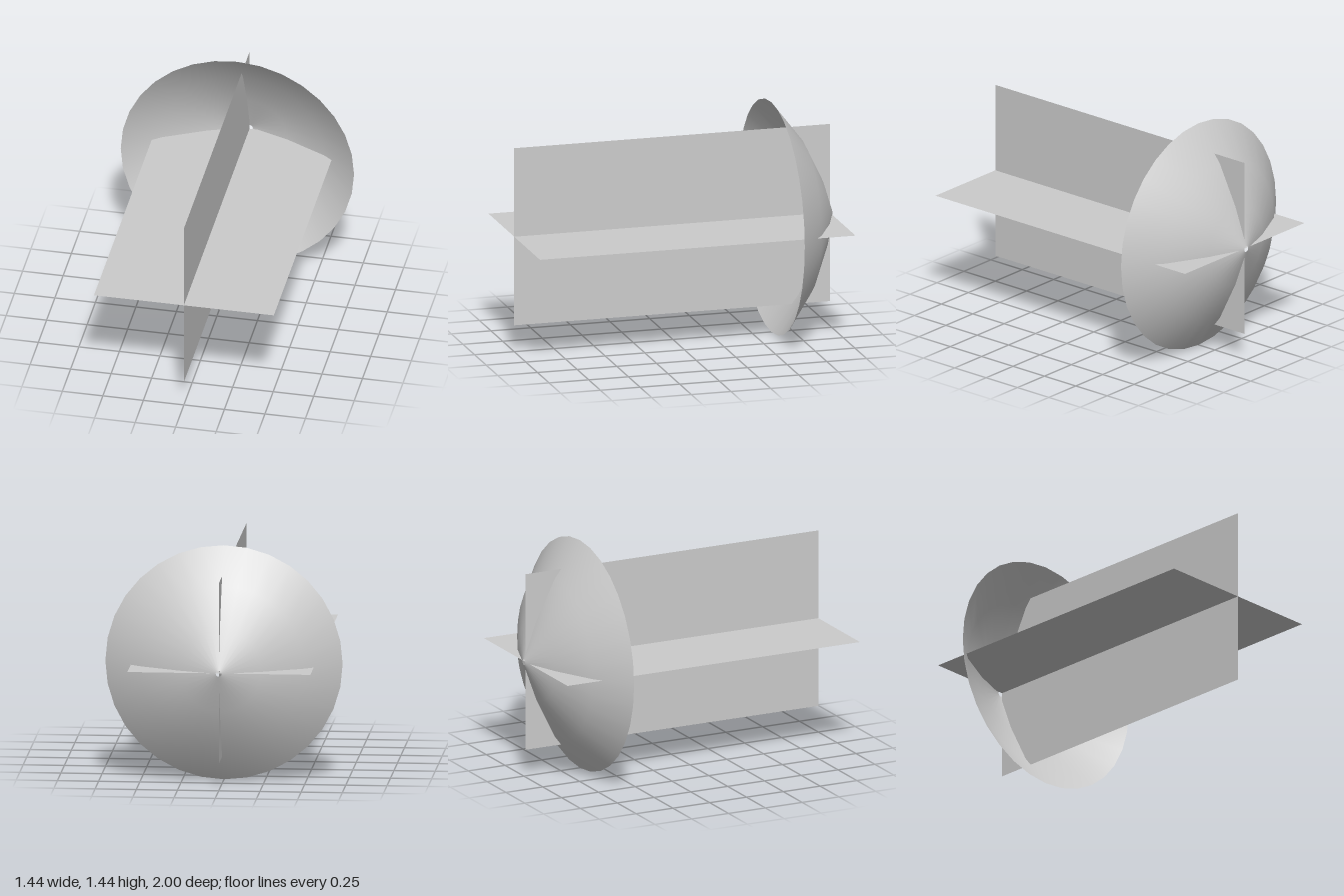
import * as THREE from 'three';

export function createModel() {
  const model = new THREE.Group();
  const material = new THREE.MeshStandardMaterial({ color: 0xcccccc, side: THREE.DoubleSide });
  const axisY = 0.722;

  // Open shallow dish with a small hole at its apex, pointing to -z
  const profile = [[0.72, 0.62], [0.5, 0.79], [0.25, 0.915], [0.018, 1]]
    .map(([radius, depth]) => new THREE.Vector2(radius, depth));
  const dish = new THREE.Mesh(new THREE.LatheGeometry(profile, 32).rotateX(-Math.PI / 2), material);
  dish.name = 'dish';
  dish.position.y = axisY;
  model.add(dish);

  // Two crossed sheets running along the dish axis
  for (const [name, roll] of [['horizontalFin', 0], ['verticalFin', Math.PI / 2]]) {
    const sheet = new THREE.PlaneGeometry(1.11, 1.988).rotateX(-Math.PI / 2).rotateZ(roll);
    const fin = new THREE.Mesh(sheet, material);
    fin.name = name;
    fin.position.set(0, axisY, 0.006);
    model.add(fin);
  }

  return model;
}
